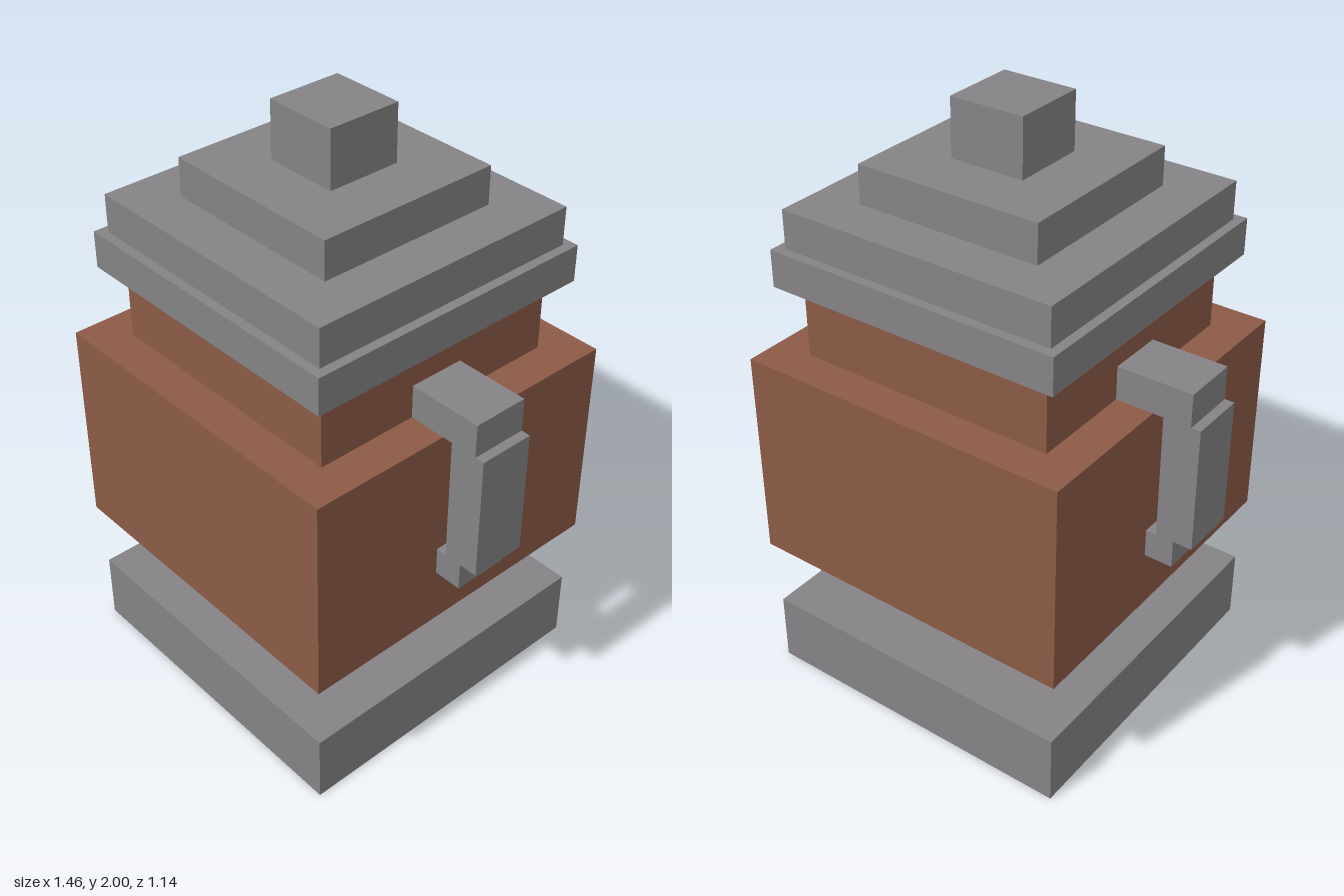
import * as THREE from 'three';

export function createModel() {
  const model = new THREE.Group();
  model.name = 'lidded urn';

  const stone = new THREE.MeshStandardMaterial({ color: 0x858385 });
  stone.name = 'grey stone';
  const clay = new THREE.MeshStandardMaterial({ color: 0x8b5a46 });
  clay.name = 'brown clay';

  // Box given by its extents in x and y and its half depth in z
  function block(name, material, x0, x1, y0, y1, halfZ, parent = model) {
    const mesh = new THREE.Mesh(new THREE.BoxGeometry(x1 - x0, y1 - y0, 2 * halfZ), material);
    mesh.position.set((x0 + x1) / 2, (y0 + y1) / 2, 0);
    mesh.name = name;
    parent.add(mesh);
  }

  // Stacked square tiers: name, material, half width, bottom, top
  const tiers = [
    ['base', stone, 0.555, 0, 0.24],
    ['stem', clay, 0.349, 0.24, 0.48],
    ['body', clay, 0.571, 0.48, 1.19],
    ['neck', clay, 0.444, 1.19, 1.433],
    ['lidRim', stone, 0.507, 1.433, 1.556],
    ['lidLowerStep', stone, 0.476, 1.556, 1.683],
    ['lidUpperStep', stone, 0.317, 1.683, 1.81],
    ['knob', stone, 0.127, 1.81, 2],
  ];
  for (const [name, material, half, y0, y1] of tiers) {
    block(name, material, -half, half, y0, y1, half);
  }

  // Handles, one on each side
  for (const [side, name] of [[1, 'leftHandle'], [-1, 'rightHandle']]) {
    const handle = new THREE.Group();
    handle.name = name;
    block('upperArm', stone, 0.444, 0.698, 1.19, 1.302, 0.095, handle);
    block('grip', stone, 0.606, 0.73, 0.767, 1.19, 0.095, handle);
    block('lowerArm', stone, 0.571, 0.666, 0.672, 0.767, 0.095, handle);
    if (side < 0) handle.rotation.y = Math.PI;
    model.add(handle);
  }

  return model;
}
